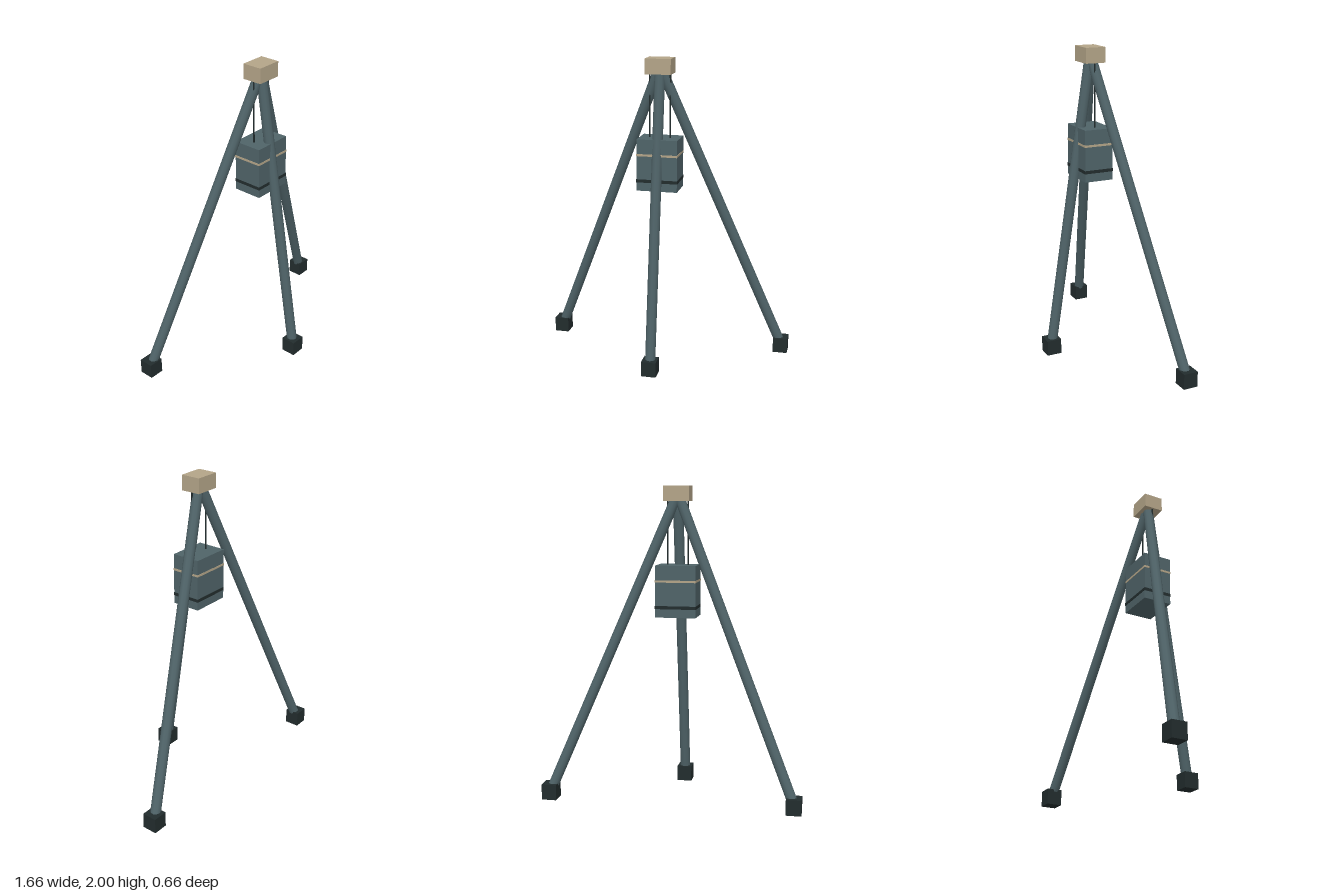
import * as THREE from 'three';

export function createModel() {
  const model = new THREE.Group();
  const material = (name, color) => {
    const m = new THREE.MeshStandardMaterial({ color });
    m.name = name;
    return m;
  };
  const steel = material('slate steel', 0x4f6368);
  const dark = material('dark rubber', 0x222c2d);
  const tan = material('tan', 0xb3a488);

  const add = (name, geometry, mat, x = 0, y = 0, z = 0) => {
    const mesh = new THREE.Mesh(geometry, mat);
    mesh.name = name;
    mesh.position.set(x, y, z);
    model.add(mesh);
    return mesh;
  };
  // Round bar between two points
  const bar = (name, a, b, radius, sides, mat) => {
    const dir = b.clone().sub(a);
    const mesh = add(name, new THREE.CylinderGeometry(radius, radius, dir.length(), sides), mat);
    mesh.position.copy(a).lerp(b, 0.5);
    mesh.quaternion.setFromUnitVectors(new THREE.Vector3(0, 1, 0), dir.normalize());
  };

  // Three splayed legs with cube feet
  const apex = new THREE.Vector3(0, 1.95, 0);
  const feet = [['front', 0, 0.282], ['backLeft', 0.783, -0.282], ['backRight', -0.783, -0.282]];
  for (const [side, x, z] of feet) {
    bar(side + 'Leg', new THREE.Vector3(x, 0.05, z), apex, 0.033, 10, steel);
    add(side + 'Foot', new THREE.BoxGeometry(0.096, 0.1, 0.096), dark, x, 0.05, z);
  }

  // Head block
  add('headBlock', new THREE.BoxGeometry(0.164, 0.096, 0.13), tan, 0, 1.952, 0);

  // Hanging weight with its two bands
  add('hangingBox', new THREE.BoxGeometry(0.26, 0.33, 0.19), steel, 0, 1.337, 0);
  add('lightBand', new THREE.BoxGeometry(0.264, 0.014, 0.194), tan, 0, 1.402, 0);
  add('darkBand', new THREE.BoxGeometry(0.264, 0.02, 0.194), dark, 0, 1.236, 0);

  // Suspension cords
  for (const s of [1, -1]) {
    bar(s > 0 ? 'leftCord' : 'rightCord', new THREE.Vector3(s * 0.066, 1.49, 0),
      new THREE.Vector3(s * 0.066, 1.92, 0), 0.005, 8, dark);
  }
  return model;
}
